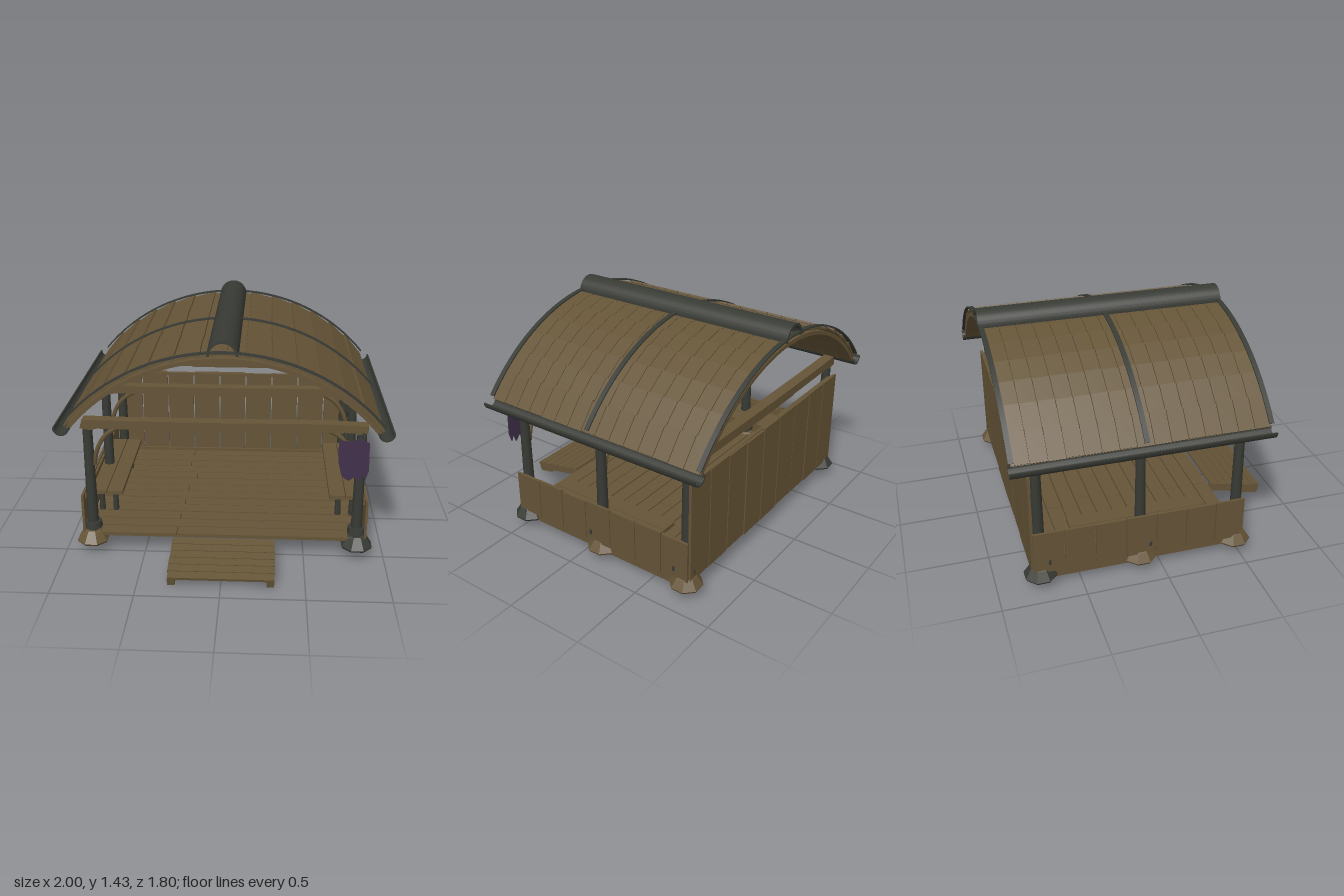
import * as THREE from 'three';
import { mergeGeometries, toCreasedNormals } from 'three/addons/utils/BufferGeometryUtils.js';

const mat = (name, color, side = THREE.FrontSide) => {
  const m = new THREE.MeshStandardMaterial({ color, side });
  m.name = name;
  return m;
};

export function createModel() {
  const model = new THREE.Group();
  const wood = mat('brown wood', 0x655437);
  const iron = mat('dark iron wood', 0x383a34);
  const cloth = mat('purple cloth', 0x41304b, THREE.DoubleSide);

  let seed = 7;
  const jitter = (a) => {
    seed = (seed * 16807) % 2147483647;
    return (seed / 2147483647 - 0.5) * 2 * a;
  };
  const add = (name, geos, material) => {
    const list = [].concat(geos);
    const mesh = new THREE.Mesh(list.length > 1 ? mergeGeometries(list) : list[0], material);
    mesh.name = name;
    model.add(mesh);
    return mesh;
  };
  const box = (w, h, d, x, y, z) => new THREE.BoxGeometry(w, h, d).translate(x, y, z);

  // Ring segment in the xy plane, extruded from z0 to z1
  const arc = (r0, r1, a0, a1, z0, z1, x = 0, y = 0) => {
    const s = new THREE.Shape();
    s.absarc(0, 0, r1, a0, a1, false);
    s.absarc(0, 0, r0, a1, a0, true);
    s.closePath();
    const g = new THREE.ExtrudeGeometry(s, { depth: z1 - z0, bevelEnabled: false, curveSegments: 20 });
    return toCreasedNormals(g.translate(x, y, z0), 0.5);
  };

  const Z0 = -0.9, Z1 = 0.63, CY = 0.142, SPAN = 0.885;
  const rows = [0.48, -0.13, -0.74];
  const sides = [-1, 1];
  const up = Math.PI / 2;

  // Roof lining: arched boards side by side
  const columns = 15, step = (Z1 - Z0 - 0.03) / columns;
  const lining = [], tiles = [];
  for (let i = 0; i < columns; i++) {
    const z = Z0 + 0.015 + step * i;
    lining.push(arc(1.168, 1.192, up - SPAN, up + SPAN, z + 0.001, z + step - 0.001, 0, CY));
    // Overlapping shingles, lower edge lifted
    for (const s of sides) for (let k = 0; k < 7; k++) {
      const len = 0.185;
      const a = SPAN - k * 0.125 - len / 2 / 1.21;
      const g = new THREE.BoxGeometry(len + jitter(0.006), 0.012, step - 0.004);
      g.rotateZ(-0.07).translate(0, 1.208, z + step / 2).rotateZ(-a);
      if (s < 0) g.rotateY(Math.PI).translate(0, 0, 2 * z + step);
      tiles.push(g.translate(0, CY, 0));
    }
  }
  add('roofLining', lining, wood);
  add('roofShingles', tiles, wood);

  // Iron bands over the roof, ridge cap and gutters
  for (const z of [0.615, -0.13, -0.885])
    add('roofBand', arc(1.222, 1.231, up - SPAN + 0.01, up + SPAN - 0.01, z - 0.015, z + 0.015, 0, CY), iron);
  add('ridgeCap', arc(0.076, 0.092, 0, Math.PI, Z0, Z1, 0, 1.348), iron);
  for (const s of sides)
    add('gutter', arc(0.041, 0.05, Math.PI, 2 * Math.PI, Z0, Z1, s * 0.95, 0.897), iron);

  // Posts, stone feet, cross beams and braces
  rows.forEach((z, i) => {
    for (const s of sides) {
      const post = new THREE.CylinderGeometry(0.029, 0.036, 0.82, 10).translate(s * 0.825, 0.47, z);
      add('post', post, iron);
      add('postCollar', new THREE.CylinderGeometry(0.053, 0.058, 0.04, 10).translate(s * 0.825, 0.19, z), iron);

      const profile = [[0, 0.072], [0.094, 0.072], [0.102, 0.085], [0.065, 0.14], [0.05, 0.152], [0, 0.152]];
      const foot = new THREE.LatheGeometry(profile.map((p) => new THREE.Vector2(...p)), 8).toNonIndexed();
      foot.rotateY(Math.PI / 8).translate(s * 0.83, 0, z).computeVertexNormals();
      const dark = (s > 0 && i === 0) || (s < 0 && i === 2);
      add('postFoot', foot, dark ? iron : wood);

      if (i < 2) {
        const curve = new THREE.QuadraticBezierCurve3(
          new THREE.Vector3(s * 0.795, 0.6, z),
          new THREE.Vector3(s * 0.77, 0.8, z),
          new THREE.Vector3(s * 0.63, 0.85, z));
        add('brace', new THREE.TubeGeometry(curve, 10, 0.015, 6), wood);
      }
    }
    // Beam with slimmer middle
    const b = new THREE.Shape();
    [[-0.865, 0.85], [-0.8, 0.84], [-0.76, 0.85], [-0.3, 0.846], [-0.28, 0.84], [0.3, 0.84], [0.32, 0.847],
      [0.78, 0.85], [0.8, 0.84], [0.855, 0.85], [0.86, 0.895], [0.6, 0.905], [0, 0.9], [-0.6, 0.902], [-0.85, 0.906]]
      .forEach(([x, y], j) => (j ? b.lineTo(x, y) : b.moveTo(x, y)));
    const beam = new THREE.ExtrudeGeometry(b, { depth: 0.07, bevelEnabled: false });
    add('crossBeam', beam.translate(0, 0, z - 0.035), wood);
  });

  // Floor boards with staggered joints
  const floor = [];
  for (let i = 0; i < 13; i++) {
    const z = 0.465 - i * 0.1, joint = (i % 2 ? 0.28 : -0.25) + jitter(0.05);
    const h = 0.024 + jitter(0.002);
    floor.push(box(joint + 0.858, h, 0.093, (joint - 0.862) / 2, 0.132, z));
    floor.push(box(0.858 - joint, h, 0.093, (joint + 0.862) / 2, 0.132, z));
  }
  add('floorBoards', floor, wood);

  // Sills under both sides of the floor
  for (const s of sides) {
    add('sill', [box(0.07, 0.05, 0.5, s * 0.825, 0.095, 0.17), box(0.07, 0.055, 0.56, s * 0.825, 0.09, -0.45),
      box(0.07, 0.03, 1.24, s * 0.825, 0.107, -0.13)], wood);
  }

  // Back wall and its rails
  const wall = [];
  for (let i = 0; i < 9; i++) {
    const top = 0.775 + jitter(0.008), bottom = 0.125 + jitter(0.006);
    wall.push(box(0.186, top - bottom, 0.018, (i - 4) * 0.1935, (top + bottom) / 2, -0.786 + jitter(0.002)));
  }
  add('backWall', wall, wood);
  add('wallRails', [0.763, 0.158].map((y) => box(1.66, 0.02, 0.018, 0, y, -0.77)), wood);

  // Low side walls, each with inner rail
  for (const s of sides) {
    const panel = [];
    for (let i = 0; i < 7; i++) {
      const top = 0.396 + jitter(0.004), bottom = 0.128 + jitter(0.008);
      panel.push(box(0.016, top - bottom, 0.18, s * 0.879, (top + bottom) / 2, 0.422 - i * 0.186));
    }
    add('sideWall', panel, wood);
    add('sideWallRail', box(0.015, 0.03, 1.2, s * 0.864, 0.37, -0.13), wood);
    add('sideWallPegs', [-0.08, -0.69].map((z) => box(0.012, 0.03, 0.014, s * 0.886, 0.195, z)), iron);
  }

  // Benches along both sides
  for (const s of sides) {
    add('benchSeat', [0.715, 0.82].map((x) => box(0.1, 0.026, 0.84, s * x, 0.313, -0.12)), wood);
    const legs = [];
    for (const z of [0.2, -0.44]) for (const x of [0.73, 0.82])
      legs.push(new THREE.CylinderGeometry(0.016, 0.02, 0.16, 8).translate(s * x, 0.222, z));
    add('benchLegs', legs, iron);
  }

  // Entrance ramp: slats on two sloping stringers
  const ramp = new THREE.Group();
  ramp.name = 'ramp';
  const slats = [], stringers = [];
  for (let i = 0; i < 6; i++)
    slats.push(box(0.638 + jitter(0.006), 0.016, 0.056, jitter(0.003), -0.008, -0.03 - i * 0.061));
  for (const s of sides) {
    stringers.push(box(0.045, 0.034, 0.36, s * 0.295, -0.033, -0.185));
    stringers.push(box(0.045, 0.03, 0.1, s * 0.295, -0.05, -0.06));
  }
  ramp.add(add('rampSlats', slats, wood), add('rampStringers', stringers, wood));
  ramp.rotation.x = 0.186;
  ramp.position.set(0, 0.068, 0.9);
  model.add(ramp);

  // Ragged cloth hanging by the front post
  const c = new THREE.Shape();
  [[0.69, 0.835], [0.75, 0.825], [0.8, 0.845], [0.86, 0.82], [0.865, 0.64], [0.845, 0.58], [0.83, 0.62], [0.81, 0.565],
    [0.78, 0.6], [0.75, 0.575], [0.72, 0.59], [0.7, 0.62], [0.682, 0.7], [0.68, 0.8]]
    .forEach(([x, y], j) => (j ? c.lineTo(x, y) : c.moveTo(x, y)));
  add('hangingCloth', new THREE.ExtrudeGeometry(c, { depth: 0.006, bevelEnabled: false }).translate(0, 0, 0.582), cloth);
  add('clothPegs', [0.72, 0.83].map((x) => box(0.012, 0.012, 0.08, x, 0.848, 0.545)), iron);

  return model;
}
